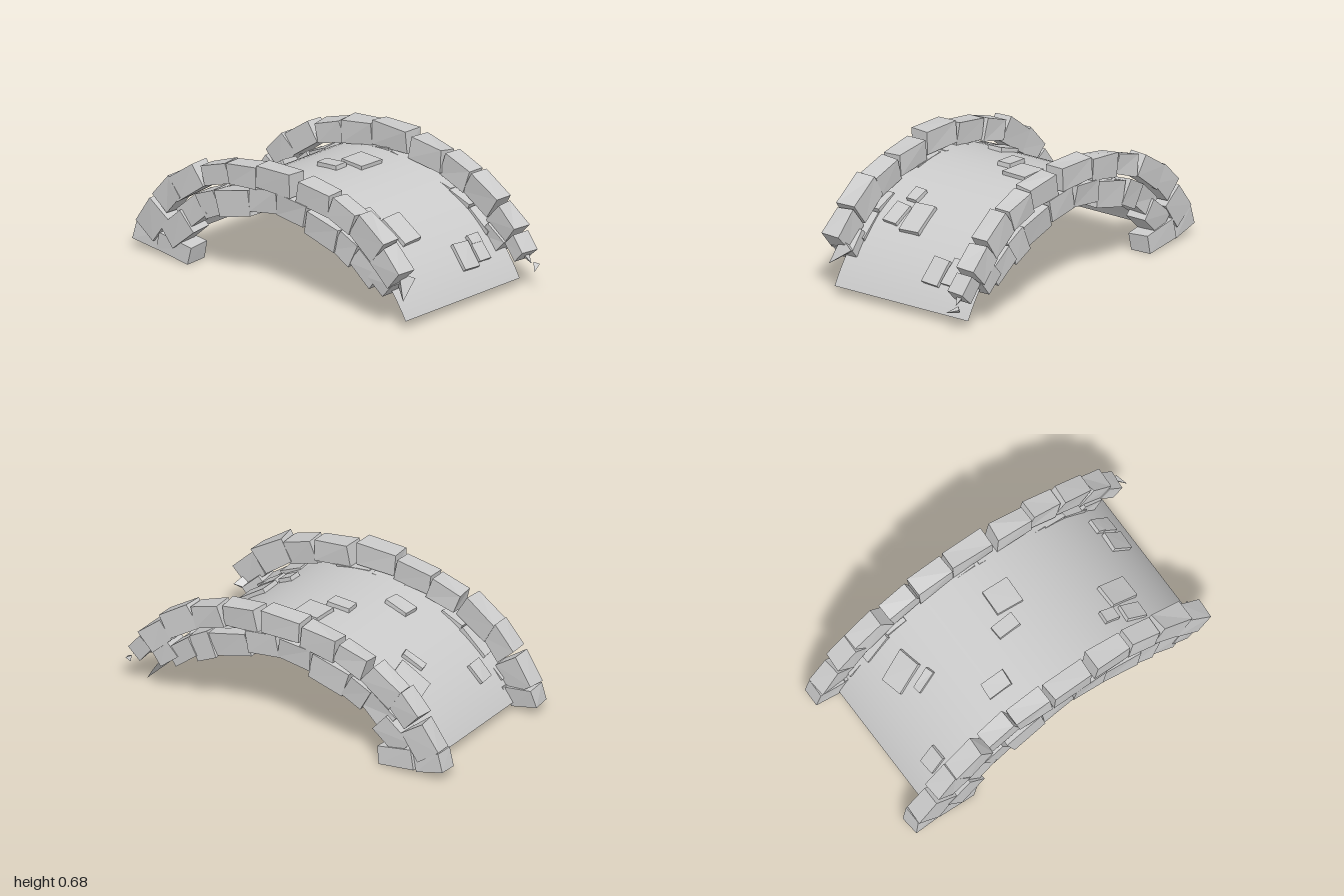
import * as THREE from 'three';

const R = 0.97, AXIS_Y = -0.425, DECK_Z = 0.025, YAW = 0.09;
const stone = new THREE.MeshStandardMaterial({ color: 0xcccccc, flatShading: true });
const smooth = new THREE.MeshStandardMaterial({ color: 0xcccccc, side: THREE.DoubleSide });
const rad = THREE.MathUtils.degToRad;

// Seeded noise in -1..1
let seed = 7;
const rnd = () => {
  seed = (seed * 16807) % 2147483647;
  return (seed / 2147483647) * 2 - 1;
};

// Box whose eight corners are nudged a little, for rough-cut stone
function roughBox(w, h, d, amount) {
  const geo = new THREE.BoxGeometry(w, h, d);
  const p = geo.attributes.position;
  const offsets = Array.from({ length: 8 }, () => [rnd() * amount, rnd() * amount, rnd() * amount]);
  for (let i = 0; i < p.count; i++) {
    const k = (p.getX(i) > 0 ? 1 : 0) + (p.getY(i) > 0 ? 2 : 0) + (p.getZ(i) > 0 ? 4 : 0);
    const o = offsets[k];
    p.setXYZ(i, p.getX(i) + o[0], p.getY(i) + o[1], p.getZ(i) + o[2]);
  }
  geo.computeVertexNormals();
  return geo;
}

function add(parent, name, geo, mat, x, y, z) {
  const m = new THREE.Mesh(geo, mat);
  m.name = name;
  m.position.set(x, y, z);
  parent.add(m);
  return m;
}

// Edge stones: z, y, length, height, slope in degrees (front end down is positive)
const upperRing = [
  [-0.87, 0.09, 0.16, 0.10, 12], [-0.82, 0.19, 0.17, 0.15, -56], [-0.72, 0.35, 0.16, 0.13, -46],
  [-0.59, 0.45, 0.20, 0.13, -34], [-0.395, 0.535, 0.18, 0.11, -18], [-0.205, 0.58, 0.21, 0.12, -8],
  [0.025, 0.61, 0.235, 0.12, 0], [0.285, 0.58, 0.21, 0.12, 8], [0.48, 0.53, 0.18, 0.12, 18],
  [0.65, 0.455, 0.20, 0.14, 34], [0.79, 0.33, 0.16, 0.13, 42], [0.89, 0.23, 0.11, 0.09, 48],
];
const lowerRing = [
  [-0.68, 0.068, 0.22, 0.10, 10], [-0.65, 0.18, 0.18, 0.13, -42], [-0.56, 0.295, 0.18, 0.12, -40],
  [-0.435, 0.37, 0.13, 0.13, -26], [-0.26, 0.415, 0.22, 0.13, -14], [-0.06, 0.478, 0.19, 0.12, -8],
  [0.14, 0.478, 0.19, 0.12, 9], [0.34, 0.415, 0.22, 0.13, 15], [0.50, 0.36, 0.13, 0.14, 25],
  [0.63, 0.285, 0.17, 0.11, 38], [0.74, 0.245, 0.13, 0.10, 42],
];

// One side of the bridge: two stacked rings of stones
function edgeWall(side) {
  const wall = new THREE.Group();
  wall.name = side > 0 ? 'leftEdgeWall' : 'rightEdgeWall';
  const rings = [['upperStone', upperRing, 0.105, 0], ['lowerStone', lowerRing, 0.12, -0.01]];
  for (const [name, ring, width, inset] of rings) {
    for (const [z, y, len, h, slope] of ring) {
      if (side < 0 && z > 0.85) continue;
      const x = side * (0.43 + inset) + rnd() * 0.008;
      const m = add(wall, name, roughBox(width, h, len, 0.007), stone, x, y, z);
      m.rotation.set(rad(slope), rnd() * 0.03, rnd() * 0.04);
    }
  }
  return wall;
}

// Splintered stone left at the crumbling front end
function shard(parent, x, y, z, r, len, rx, rz) {
  const m = add(parent, 'brokenShard', new THREE.ConeGeometry(r, len, 3), stone, x, y, z);
  m.rotation.set(rx, 0, rz);
}

// Paving stones: x, z, width, length along the arch, yaw in degrees
const paving = [
  [-0.325, -0.66, 0.09, 0.11, 4], [0.13, -0.58, 0.13, 0.19, 13], [0.02, -0.51, 0.045, 0.13, 13],
  [-0.225, -0.23, 0.09, 0.135, -3], [0.01, -0.035, 0.08, 0.13, 2], [0.155, 0.03, 0.145, 0.15, -3],
  [-0.18, 0.46, 0.07, 0.09, -5], [-0.2, 0.585, 0.09, 0.13, -7], [-0.07, 0.575, 0.125, 0.18, 2],
  [0.22, 0.74, 0.105, 0.145, -4], [0.325, 0.685, 0.075, 0.05, -4], [0.325, 0.735, 0.08, 0.10, -4],
];

export function createModel() {
  const model = new THREE.Group();
  model.name = 'archedStoneBridge';
  const bridge = new THREE.Group();
  bridge.name = 'bridge';
  bridge.rotation.y = YAW;
  model.add(bridge);

  // Thin curved deck
  const half = 1.065;
  const deck = new THREE.CylinderGeometry(R, R, 0.86, 40, 1, true, Math.PI / 2 - half, half * 2);
  deck.rotateZ(Math.PI / 2);
  add(bridge, 'deck', deck, smooth, 0.01, AXIS_Y, DECK_Z);

  bridge.add(edgeWall(1), edgeWall(-1));

  // Paving stones sunk into the deck, following its curve
  for (const [wx, wz, w, d, yaw] of paving) {
    const x = wx * Math.cos(YAW) - wz * Math.sin(YAW);
    const z = wz * Math.cos(YAW) + wx * Math.sin(YAW);
    const a = Math.asin((z - DECK_Z) / R);
    const r = R - 0.005;
    const m = add(bridge, 'pavingStone', roughBox(w, 0.05, d, 0.003), stone,
      x, AXIS_Y + r * Math.cos(a), DECK_Z + r * Math.sin(a));
    m.rotation.set(a, rad(yaw), 0);
  }

  // Broken front ends
  shard(bridge, 0.43, 0.19, 0.92, 0.045, 0.12, 2.3, 0);
  shard(bridge, 0.43, 0.13, 0.99, 0.02, 0.07, 2.0, 0.9);
  shard(bridge, -0.41, 0.21, 0.85, 0.06, 0.14, 2.5, 0.6);
  return model;
}
